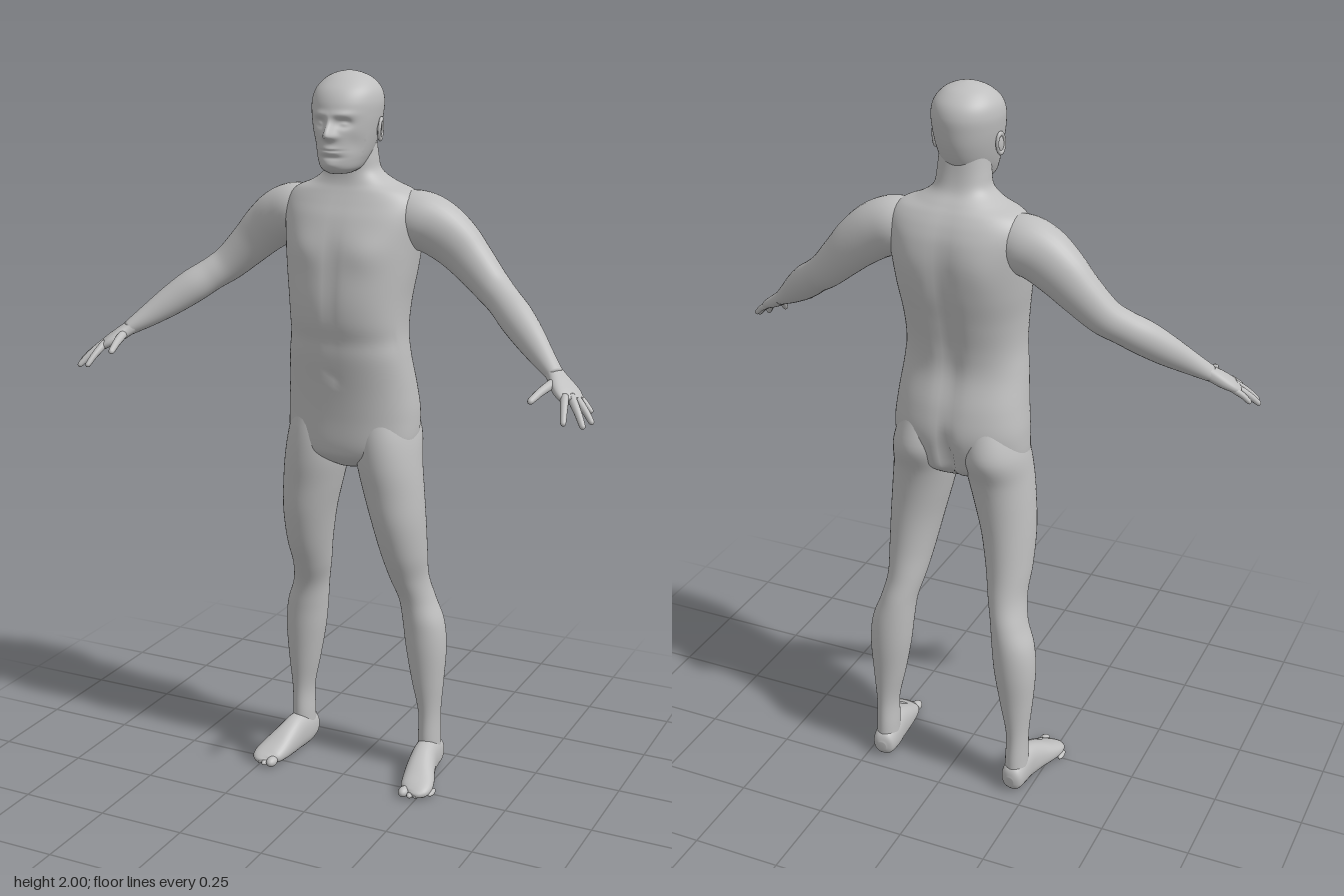
import * as THREE from 'three';

const skin = new THREE.MeshStandardMaterial({ color: 0xbfbfbf });
skin.name = 'grey skin';

const bell = (d, s) => Math.exp(-(d * d) / (s * s));

// Smooth interpolation through rows of numbers
function smoothRows(rows, sub) {
  const out = [];
  const at = i => rows[Math.min(Math.max(i, 0), rows.length - 1)];
  for (let i = 0; i < rows.length - 1; i++) {
    const p = at(i - 1), q = at(i), r = at(i + 1), s = at(i + 2);
    for (let k = 0; k < sub; k++) {
      const t = k / sub;
      out.push(q.map((v, c) => {
        const cubic = 3 * (v - r[c]) + s[c] - p[c];
        const square = 2 * p[c] - 5 * v + 4 * r[c] - s[c];
        return v + 0.5 * t * (r[c] - p[c] + t * (square + t * cubic));
      }));
    }
  }
  out.push(at(rows.length - 1));
  return out;
}

// Skin over rings [x, y, z, halfWidth, halfDepth]; level rings stay horizontal
function loft(name, rows, { ref = [1, 0, 0], seg = 32, sub = 6, level = false, power = 2, shape } = {}) {
  const rings = smoothRows(rows, sub), pos = [], index = [], n = rings.length;
  const centre = r => new THREE.Vector3(r[0], r[1], r[2]);
  const round = v => Math.sign(v) * Math.pow(Math.abs(v), 2 / power);
  const add = p => { if (shape) shape(p); pos.push(p.x, p.y, p.z); };
  rings.forEach((r, i) => {
    const t = level ? new THREE.Vector3(0, 1, 0)
      : centre(rings[Math.min(i + 1, n - 1)]).sub(centre(rings[Math.max(i - 1, 0)])).normalize();
    const A = new THREE.Vector3(...ref);
    A.addScaledVector(t, -A.dot(t)).normalize();
    const B = t.clone().cross(A);
    for (let j = 0; j < seg; j++) {
      const a = j / seg * Math.PI * 2;
      add(centre(r).addScaledVector(A, round(Math.cos(a)) * Math.max(r[3], 0.001))
        .addScaledVector(B, round(Math.sin(a)) * Math.max(r[4], 0.001)));
    }
  });
  for (let j = 0; j < seg; j++) {
    const k = (j + 1) % seg;
    for (let i = 0; i < n - 1; i++) {
      const a = i * seg + j, b = i * seg + k;
      index.push(a, b, a + seg, b, b + seg, a + seg);
    }
    index.push(n * seg, k, j, n * seg + 1, (n - 1) * seg + j, (n - 1) * seg + k);
  }
  add(centre(rings[0]));
  add(centre(rings[n - 1]));
  const geo = new THREE.BufferGeometry();
  geo.setAttribute('position', new THREE.Float32BufferAttribute(pos, 3));
  geo.setIndex(index);
  geo.computeVertexNormals();
  const mesh = new THREE.Mesh(geo, skin);
  mesh.name = name;
  return mesh;
}

function blob(name, x, y, z, sx, sy, sz) {
  const mesh = new THREE.Mesh(new THREE.SphereGeometry(1, 20, 14), skin);
  mesh.name = name;
  mesh.position.set(x, y, z);
  mesh.scale.set(sx, sy, sz);
  return mesh;
}

// [y, halfWidth, frontZ, backZ] to a level ring
const slice = ([y, w, f, b]) => [0, y, (f + b) / 2, w, (f - b) / 2];

// Chest, belly, spine and buttock relief
function shapeTorso(p) {
  const x = Math.abs(p.x), y = p.y;
  if (p.z < -0.08) {
    p.z += 0.014 * bell(x, 0.03) * bell(y - 1.38, 0.24) + 0.03 * bell(x, 0.016) * bell(y - 1.02, 0.07);
    p.z -= 0.007 * bell(x - 0.1, 0.05) * bell(y - 1.56, 0.07);
  } else if (p.z > 0) {
    p.z += 0.008 * bell(x - 0.085, 0.055) * bell(y - 1.54, 0.045);
    p.z -= 0.006 * bell(x, 0.016) * bell(y - 1.45, 0.13) + 0.008 * bell(x, 0.01) * bell(y - 1.2, 0.012);
    p.z -= 0.005 * bell(y - 1.3, 0.03);
  }
}

// Brow, eyes, nose, lips and chin
function shapeFace(p) {
  if (p.z < 0.02) return;
  const x = Math.abs(p.x), y = p.y;
  const nose = y > 1.842 ? bell(y - 1.842, 0.032) : bell(y - 1.842, 0.011);
  const width = 0.011 + 0.006 * bell(y - 1.838, 0.014);
  p.z += 0.027 * nose * bell(x, width)
    + 0.005 * bell(y - 1.895, 0.009) * bell(x - 0.03, 0.03)
    - 0.015 * bell(x - 0.033, 0.019) * bell(y - 1.873, 0.012)
    + 0.007 * bell(x - 0.034, 0.011) * bell(y - 1.871, 0.006)
    + 0.008 * bell(x, 0.024) * bell(y - 1.804, 0.011)
    - 0.006 * bell(x, 0.026) * bell(y - 1.804, 0.0028)
    - 0.005 * bell(x, 0.03) * bell(y - 1.786, 0.006)
    + 0.004 * bell(x, 0.025) * bell(y - 1.766, 0.01)
    - 0.005 * bell(x - 0.055, 0.018) * bell(y - 1.82, 0.025);
}

function arm(s) {
  const g = new THREE.Group();
  g.name = s > 0 ? 'leftArm' : 'rightArm';
  const side = rows => rows.map(([x, ...rest]) => [x * s, ...rest]);
  g.add(loft('armAndShoulder', side([
    [0.1, 1.62, -0.08, 0.06, 0.06], [0.17, 1.617, -0.085, 0.075, 0.077],
    [0.225, 1.6, -0.09, 0.07, 0.077], [0.28, 1.562, -0.095, 0.06, 0.07],
    [0.33, 1.515, -0.093, 0.052, 0.06], [0.39, 1.458, -0.08, 0.046, 0.05],
    [0.435, 1.425, -0.056, 0.043, 0.046], [0.48, 1.392, -0.025, 0.043, 0.047],
    [0.53, 1.353, 0.009, 0.037, 0.042], [0.58, 1.314, 0.045, 0.029, 0.032],
    [0.63, 1.277, 0.08, 0.025, 0.02]]), { ref: [0, 0, 1] }));
  // Hand, with the palm facing down
  g.add(loft('palm', side([
    [0.61, 1.292, 0.066, 0.022, 0.02], [0.632, 1.275, 0.082, 0.027, 0.019],
    [0.655, 1.257, 0.1, 0.036, 0.018], [0.675, 1.243, 0.114, 0.039, 0.015],
    [0.692, 1.23, 0.124, 0.034, 0.011]]), { ref: [-0.45 * s, 0, 0.9], power: 2.4 }));
  const digits = {
    littleFinger: [[0.69, 1.237, 0.092], [0.735, 1.2, 0.105], 0.0085],
    ringFinger: [[0.695, 1.233, 0.11], [0.75, 1.182, 0.145], 0.0095],
    middleFinger: [[0.69, 1.233, 0.128], [0.737, 1.177, 0.178], 0.01],
    indexFinger: [[0.675, 1.236, 0.145], [0.693, 1.186, 0.203], 0.0095],
    thumb: [[0.632, 1.265, 0.105], [0.606, 1.236, 0.212], 0.011],
  };
  for (const [name, [a, b, r]] of Object.entries(digits)) {
    const rows = [[-0.15, 1.1], [0.2, 1.1], [0.55, 0.95], [0.88, 0.8], [0.97, 0.55], [1, 0.1]].map(([t, k]) => {
      const c = a.map((v, i) => v + (b[i] - v) * t);
      return [c[0], c[1] + 0.004 * Math.sin(Math.PI * Math.max(t, 0)), c[2], r * k, r * k];
    });
    g.add(loft(name, side(rows), { ref: [0, 1, 0], seg: 14, sub: 4 }));
  }
  return g;
}

function leg(s) {
  const g = new THREE.Group();
  g.name = s > 0 ? 'leftLeg' : 'rightLeg';
  const side = rows => rows.map(([x, ...rest]) => [x * s, ...rest]);
  g.add(loft('legAndThigh', side([
    [0.205, 0.045, -0.158, 0.032, 0.044], [0.204, 0.1, -0.155, 0.031, 0.045],
    [0.204, 0.18, -0.153, 0.031, 0.043], [0.198, 0.28, -0.15, 0.046, 0.052],
    [0.192, 0.38, -0.149, 0.058, 0.061], [0.184, 0.46, -0.146, 0.059, 0.063],
    [0.168, 0.53, -0.137, 0.051, 0.062], [0.153, 0.6, -0.113, 0.053, 0.068],
    [0.147, 0.68, -0.088, 0.063, 0.079], [0.137, 0.78, -0.07, 0.074, 0.09],
    [0.123, 0.87, -0.065, 0.083, 0.097], [0.11, 0.95, -0.066, 0.088, 0.107],
    [0.1, 1.03, -0.08, 0.087, 0.119], [0.09, 1.12, -0.078, 0.07, 0.1]]),
  { level: true, seg: 48 }));
  // Foot with a flat sole
  g.add(loft('foot', side([
    [0.203, 0.036, -0.208, 0.012, 0.015], [0.204, 0.038, -0.195, 0.03, 0.038],
    [0.205, 0.045, -0.155, 0.035, 0.052], [0.209, 0.046, -0.11, 0.036, 0.054],
    [0.218, 0.036, -0.06, 0.041, 0.044], [0.23, 0.025, -0.015, 0.046, 0.031],
    [0.238, 0.018, 0.02, 0.044, 0.021], [0.238, 0.014, 0.042, 0.032, 0.013],
    [0.236, 0.013, 0.052, 0.01, 0.006]]),
  { power: 2.3, shape: p => { p.y = Math.max(p.y, 0); } }));
  [0.044, 0.041, 0.034, 0.021, 0.005].forEach((z, i) => {
    const r = i ? 0.0105 - 0.0005 * i : 0.015;
    g.add(blob('toe', s * (0.211 + 0.016 * i + (i ? 0.005 : 0)), r * 0.95, z, r, r * 0.95, 0.022));
  });
  return g;
}

function ear(s) {
  const g = new THREE.Group();
  g.name = s > 0 ? 'leftEar' : 'rightEar';
  const rim = new THREE.Mesh(new THREE.TorusGeometry(0.017, 0.0045, 10, 28), skin);
  rim.name = 'earRim';
  rim.rotation.y = Math.PI / 2;
  rim.scale.set(0.9, 1.5, 1);
  g.add(rim, blob('earLobe', -0.003 * s, -0.004, 0.002, 0.006, 0.024, 0.014));
  g.position.set(0.09 * s, 1.852, -0.038);
  g.rotation.set(-0.15, 0.2 * s, 0);
  return g;
}

export function createModel() {
  const model = new THREE.Group();
  model.name = 'standingMan';
  model.add(loft('torsoAndNeck', [
    [0.93, 0.04, -0.02, -0.1], [0.965, 0.14, 0.03, -0.155], [1.0, 0.182, 0.045, -0.178],
    [1.08, 0.187, 0.05, -0.197], [1.16, 0.18, 0.058, -0.187], [1.25, 0.17, 0.072, -0.163],
    [1.32, 0.163, 0.084, -0.165], [1.4, 0.167, 0.09, -0.182], [1.48, 0.178, 0.084, -0.2],
    [1.56, 0.188, 0.07, -0.206], [1.62, 0.195, 0.05, -0.2], [1.66, 0.19, 0.03, -0.186],
    [1.69, 0.165, 0.015, -0.168], [1.712, 0.115, 0.006, -0.15], [1.74, 0.078, 0.002, -0.128],
    [1.78, 0.069, 0.002, -0.117], [1.84, 0.064, 0, -0.11]].map(slice),
  { level: true, seg: 72, power: 2.3, shape: shapeTorso }));
  model.add(loft('head', [
    [1.742, 0.03, 0.058, -0.03], [1.755, 0.05, 0.077, -0.06], [1.78, 0.063, 0.083, -0.092],
    [1.81, 0.073, 0.084, -0.116], [1.85, 0.083, 0.084, -0.131], [1.89, 0.09, 0.081, -0.137],
    [1.925, 0.092, 0.074, -0.137], [1.955, 0.084, 0.056, -0.125], [1.98, 0.062, 0.024, -0.098],
    [1.994, 0.034, -0.006, -0.068], [2.0, 0.004, -0.034, -0.042]].map(slice),
  { level: true, seg: 128, sub: 12, shape: shapeFace }));
  for (const s of [1, -1]) model.add(arm(s), leg(s), ear(s));
  return model;
}
